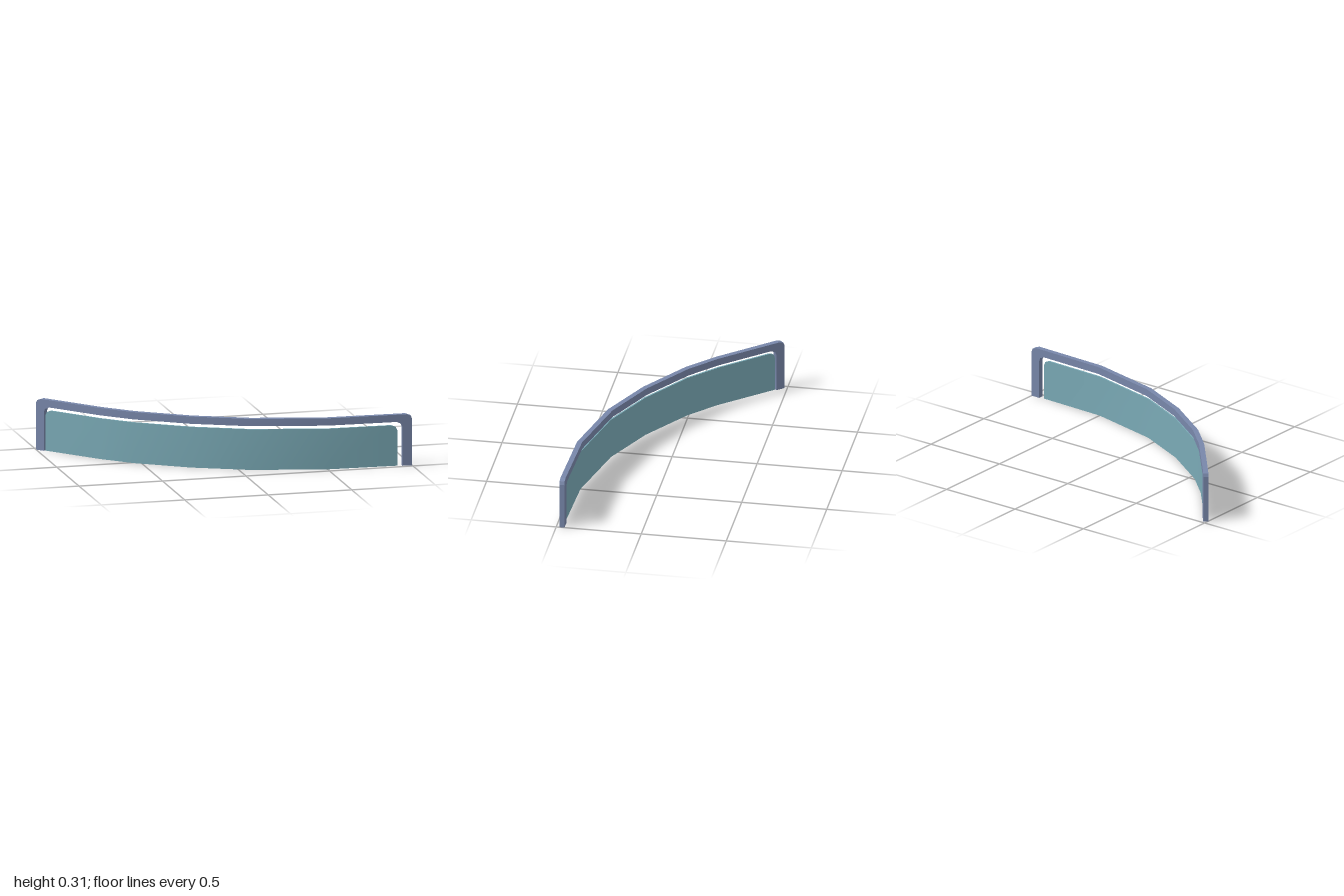
import * as THREE from 'three';
import { toCreasedNormals } from 'three/addons/utils/BufferGeometryUtils.js';

// Plan curve of the windscreen as [x, z], from its right end to its left end
const PATH = [[-0.99, -0.475], [-0.7, -0.14], [-0.54, 0.01], [-0.25, 0.205],
  [0.065, 0.352], [0.5, 0.453], [1.0, 0.467]].map(([x, z]) => new THREE.Vector2(x, z));
const DIST = [0];
for (let i = 1; i < PATH.length; i++) DIST.push(DIST[i - 1] + PATH[i].distanceTo(PATH[i - 1]));
const LENGTH = DIST[DIST.length - 1];

const tangent = (i) => PATH[i + 1].clone().sub(PATH[i]).normalize();

// Point on the curve and its outward offset direction, mitred at the bends
function along(s) {
  let i = 0;
  while (i < PATH.length - 2 && s > DIST[i + 1]) i++;
  const t = (s - DIST[i]) / (DIST[i + 1] - DIST[i]);
  const p = PATH[i].clone().lerp(PATH[i + 1], t);
  const a = tangent(i);
  let dir = a.clone();
  const bend = DIST.findIndex((d, k) => k > 0 && k < PATH.length - 1 && Math.abs(d - s) < 1e-6);
  if (bend > 0) {
    dir = tangent(bend - 1).add(tangent(bend)).normalize();
    dir.divideScalar(dir.dot(a));
  }
  return { p, n: new THREE.Vector2(-dir.y, dir.x) };
}

// Curved slab through columns [distance, bottom, top], extra columns at the bends
function curvedSlab(columns, thickness) {
  const cols = [];
  columns.forEach((c, k) => {
    cols.push(c);
    const next = columns[k + 1];
    if (!next) return;
    for (const d of DIST) {
      if (d <= c[0] + 1e-5 || d >= next[0] - 1e-5) continue;
      const t = (d - c[0]) / (next[0] - c[0]);
      cols.push([d, c[1] + (next[1] - c[1]) * t, c[2] + (next[2] - c[2]) * t]);
    }
  });
  const rings = cols.map(([s, low, high]) => {
    const { p, n } = along(s);
    const corner = (side, y) => new THREE.Vector3(
      p.x + n.x * side * thickness / 2, y, p.y + n.y * side * thickness / 2);
    return [corner(1, low), corner(1, high), corner(-1, high), corner(-1, low)];
  });
  const pos = [];
  const tri = (a, b, c) => {
    const area = b.clone().sub(a).cross(c.clone().sub(a)).length();
    if (area > 1e-9) for (const v of [a, b, c]) pos.push(v.x, v.y, v.z);
  };
  const quad = (a, b, c, d) => { tri(a, b, c); tri(a, c, d); };
  for (let i = 0; i < rings.length - 1; i++) {
    const a = rings[i], b = rings[i + 1];
    for (let k = 0; k < 4; k++) {
      const m = (k + 1) % 4;
      quad(a[k], b[k], b[m], a[m]);
    }
  }
  quad(...rings[0]);
  quad(...rings[rings.length - 1].slice().reverse());
  const geo = new THREE.BufferGeometry();
  geo.setAttribute('position', new THREE.Float32BufferAttribute(pos, 3));
  return toCreasedNormals(geo, 0.35);
}

// Mirror a half profile to the other end of the curve
const mirrored = (half) => half.map(([s, low, high]) => [LENGTH - s, low, high]).reverse();

export function createModel() {
  const group = new THREE.Group();
  const frameMaterial = new THREE.MeshStandardMaterial({ color: 0x7887aa });
  frameMaterial.name = 'slateBlueFrame';
  const glassMaterial = new THREE.MeshStandardMaterial({ color: 0x7aaab6 });
  glassMaterial.name = 'tealGlass';
  const add = (name, geo, material) => {
    const mesh = new THREE.Mesh(geo, material);
    mesh.name = name;
    group.add(mesh);
  };

  // Frame: two posts joined by a top rail with rounded corners
  const corner = [[0, 0, 0.275], [0.008, 0, 0.295], [0.035, 0, 0.305], [0.056, 0, 0.305],
    [0.056, 0.228, 0.305], [0.064, 0.25, 0.305], [0.092, 0.262, 0.305]];
  add('windscreenFrame', curvedSlab([...corner, ...mirrored(corner)], 0.03), frameMaterial);

  // Glass pane, closer to the right post than to the left one
  const pane = (start) => [[start, 0, 0.208], [start + 0.01, 0, 0.231], [start + 0.036, 0, 0.241]];
  add('windscreenGlass', curvedSlab([...pane(0.06), ...mirrored(pane(0.085))], 0.01), glassMaterial);
  return group;
}
